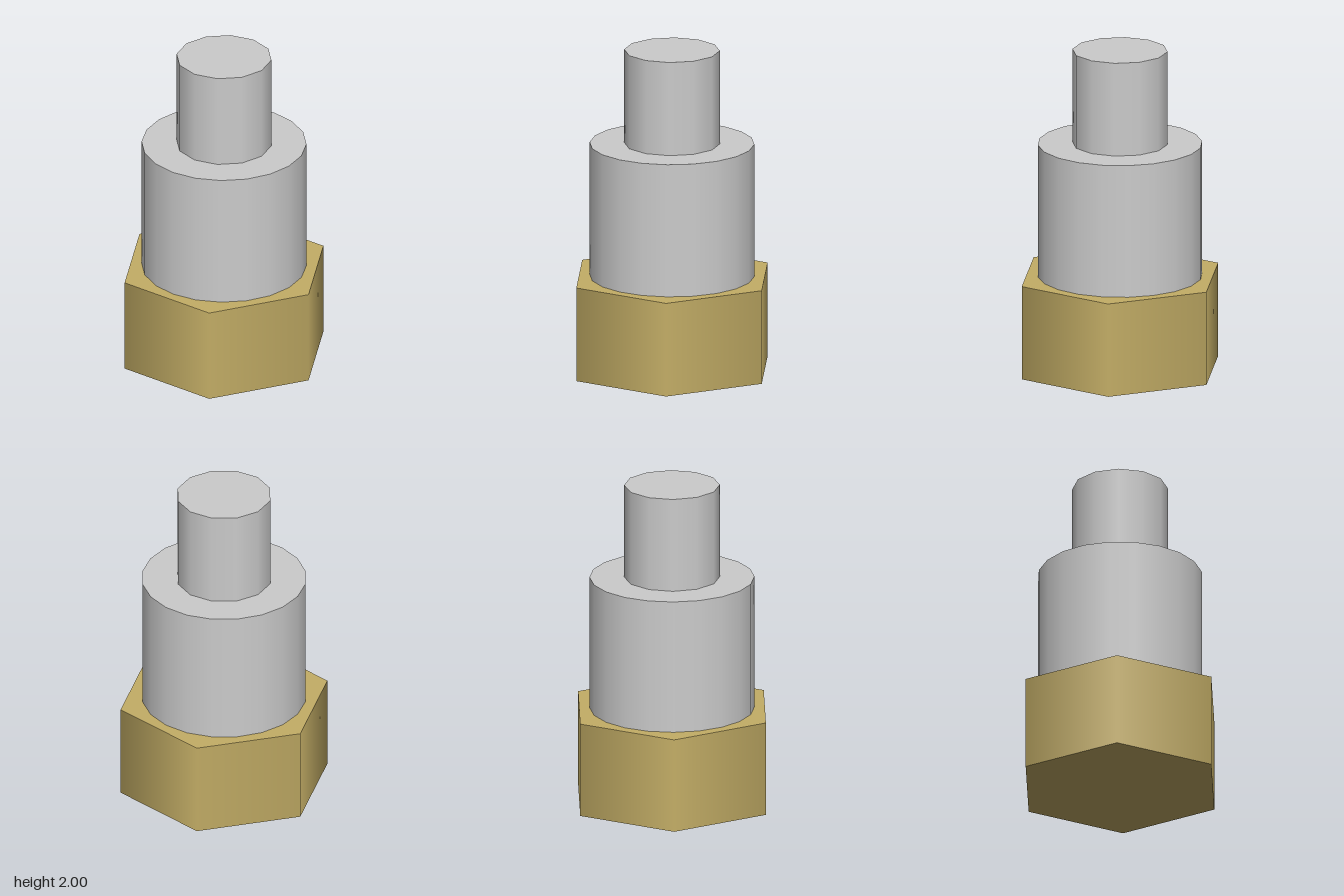
import * as THREE from 'three';

export function createModel() {
  const group = new THREE.Group();
  const grey = new THREE.MeshStandardMaterial({ color: 0xcccccc });
  const brass = new THREE.MeshStandardMaterial({ color: 0xc4ae66 });

  // Upright prism standing between two heights, one corner facing +z
  function addPrism(name, radius, sides, bottom, top, material) {
    const geometry = new THREE.CylinderGeometry(radius, radius, top - bottom, sides);
    const mesh = new THREE.Mesh(geometry, material);
    mesh.name = name;
    mesh.position.y = (bottom + top) / 2;
    group.add(mesh);
  }

  addPrism('hexBase', 0.65, 6, 0, 0.585, brass);
  addPrism('body', 0.5, 20, 0.585, 1.415, grey);
  addPrism('topPin', 0.29, 12, 1.415, 2, grey);

  return group;
}
